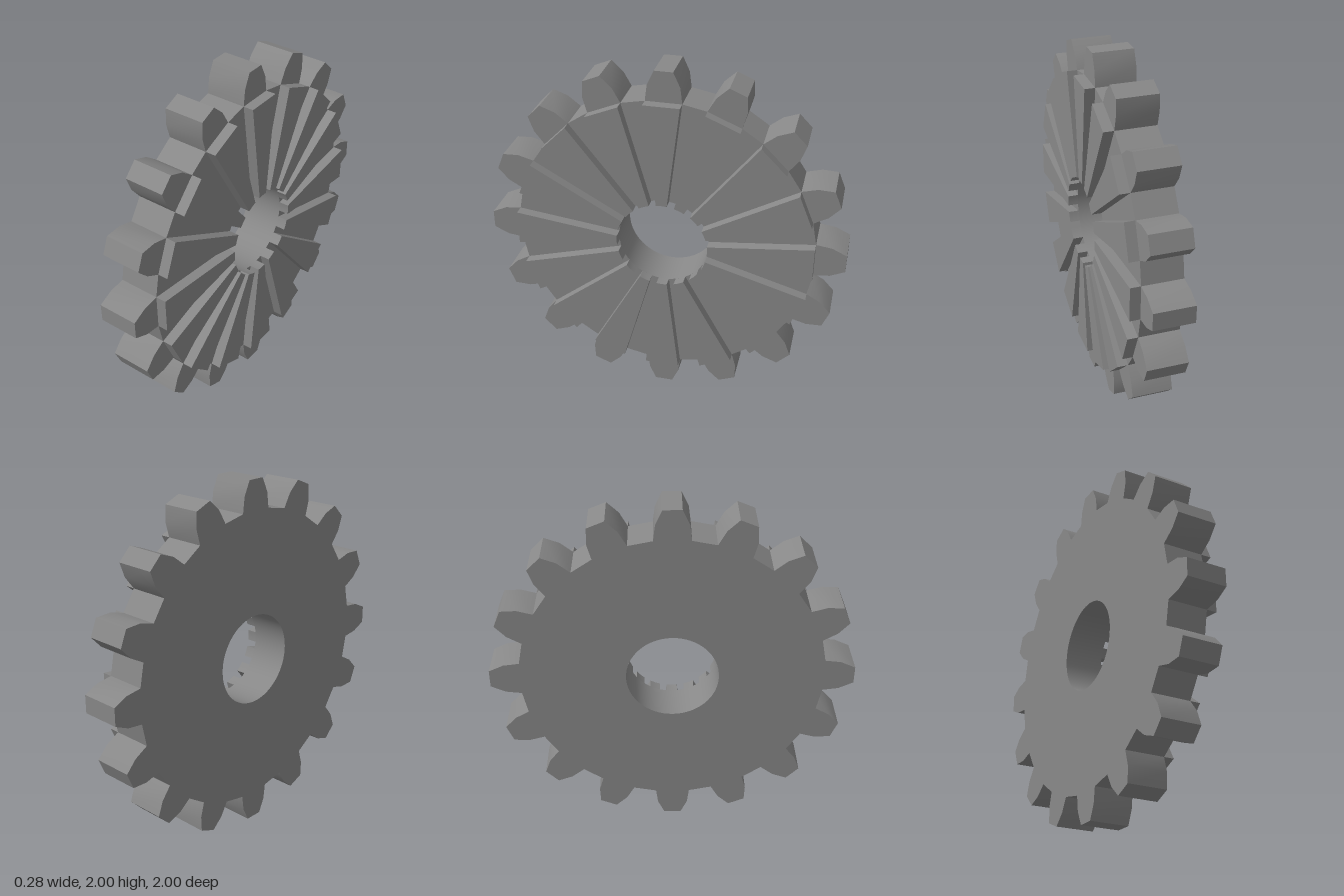
import * as THREE from 'three';
import { toCreasedNormals } from 'three/addons/utils/BufferGeometryUtils.js';

const TEETH = 16, BORE = 0.255, ROOT = 0.832, ROOT_HALF = 0.098;
const BACK = -0.14, FACE = 0.083, RIDGE_TOP = 0.14;
// Half outline of one tooth: [radial distance, half width]
const FLANK = [[ROOT, ROOT_HALF], [0.92, 0.087], [1, 0.05]];

// Extrude a flat outline along the x axis, from x0 to x1
function extrudeX(shape, x0, x1, curveSegments) {
  const geo = new THREE.ExtrudeGeometry(shape, { depth: x1 - x0, bevelEnabled: false, curveSegments });
  geo.translate(0, 0, x0);
  geo.rotateY(Math.PI / 2);
  return toCreasedNormals(geo, 0.5);
}

export function createModel() {
  const group = new THREE.Group();
  const material = new THREE.MeshStandardMaterial({ color: 0x888888 });

  // Toothed disc with a round bore
  const outline = [];
  for (let i = 0; i < TEETH; i++) {
    const a = (i / TEETH) * Math.PI * 2, c = Math.cos(a), s = Math.sin(a);
    const tooth = [
      ...FLANK.map(([r, w]) => [r, -w]),
      ...[...FLANK].reverse(),
    ];
    for (const [r, t] of tooth) outline.push(new THREE.Vector2(r * c - t * s, r * s + t * c));
  }
  const disc = new THREE.Shape(outline);
  disc.holes.push(new THREE.Path().absarc(0, 0, BORE, 0, Math.PI * 2, true));
  const gear = new THREE.Mesh(extrudeX(disc, BACK, FACE, 32), material);
  gear.name = 'toothedDisc';
  gear.position.y = 1;
  group.add(gear);

  // Radial ridges on the +x face, one in line with each tooth
  const half = Math.atan2(ROOT_HALF, ROOT);
  const wedge = new THREE.Shape();
  wedge.moveTo(ROOT, -ROOT_HALF);
  wedge.lineTo(ROOT, ROOT_HALF);
  wedge.lineTo(BORE * Math.cos(half), BORE * Math.sin(half));
  wedge.absarc(0, 0, BORE, half, -half, true);
  wedge.closePath();
  const ridgeGeo = extrudeX(wedge, FACE, RIDGE_TOP, 2);
  const ridges = new THREE.Group();
  ridges.name = 'faceRidges';
  ridges.position.y = 1;
  for (let i = 0; i < TEETH; i++) {
    const ridge = new THREE.Mesh(ridgeGeo, material);
    ridge.name = 'ridge' + (i + 1);
    ridge.rotation.x = (i / TEETH) * Math.PI * 2;
    ridges.add(ridge);
  }
  group.add(ridges);

  return group;
}
